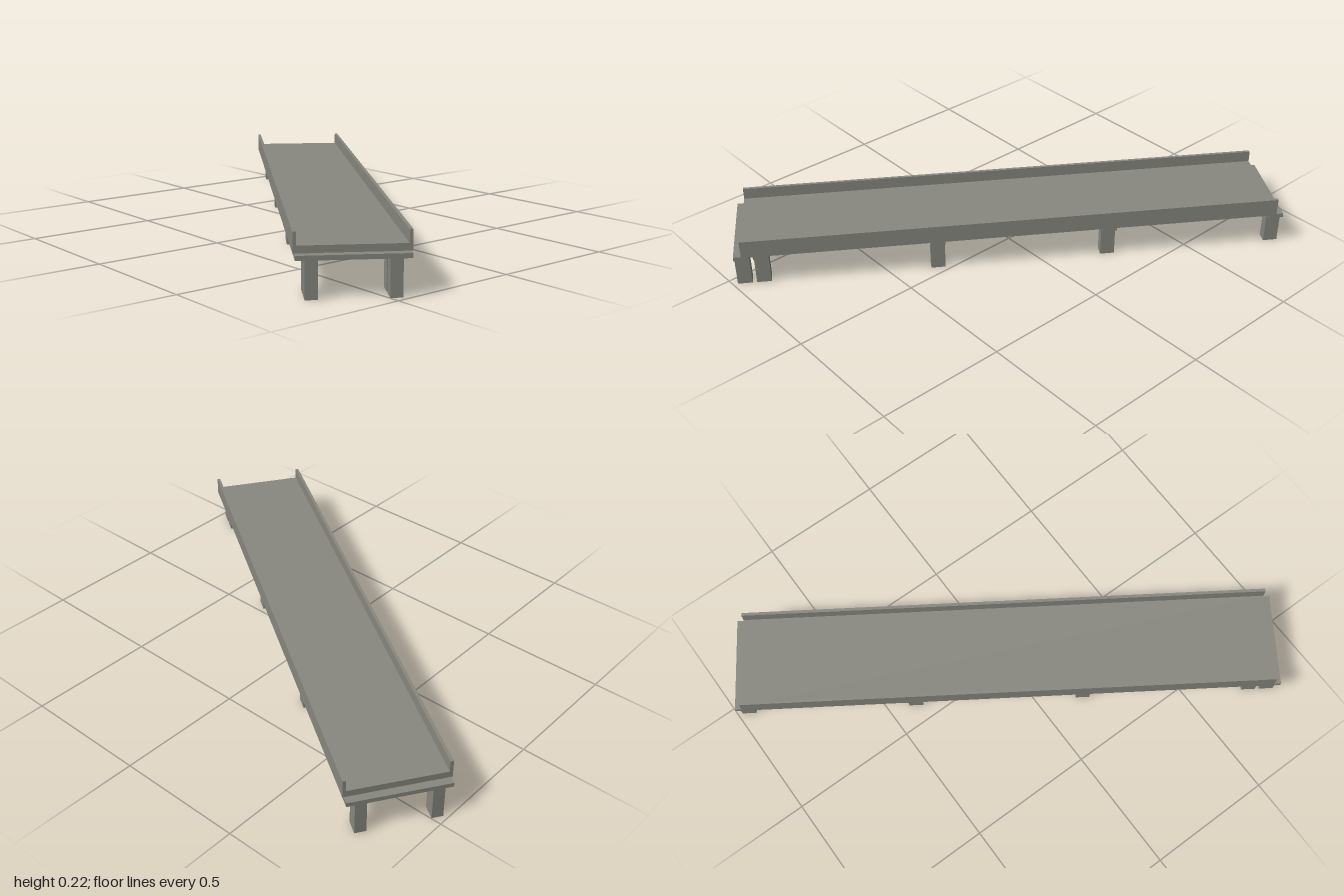
import * as THREE from 'three';

export function createModel() {
  const concrete = new THREE.MeshStandardMaterial({ color: 0x888880 });
  concrete.name = 'concrete grey';

  const model = new THREE.Group();
  model.name = 'bridge';
  // The span lies diagonally: local x runs along it, local z across it
  const span = new THREE.Group();
  span.name = 'span';
  span.rotation.y = -0.585;
  model.add(span);

  // Box given by its centre in plan and its bottom and top heights
  const block = (name, parent, length, width, bottom, top, x, z) => {
    const mesh = new THREE.Mesh(new THREE.BoxGeometry(length, top - bottom, width), concrete);
    mesh.position.set(x, (bottom + top) / 2, z);
    mesh.name = name;
    parent.add(mesh);
  };

  // Road deck between two parapets, with a girder below each side
  const length = 2.09;
  block('deck', span, length, 0.36, 0.145, 0.17, 0, 0);
  for (const side of [-1, 1]) {
    block('parapet', span, length, 0.012, 0.145, 0.215, 0, side * 0.186);
    block('girder', span, length, 0.041, 0.118, 0.145, 0, side * 0.136);
  }

  // Supports: evenly spaced, with a closing pair at the far end
  for (const x of [-1.047, -0.374, 0.3, 0.974, 1.047]) {
    const support = new THREE.Group();
    support.name = 'support';
    support.position.x = x;
    span.add(support);
    block('crossCap', support, 0.056, 0.374, 0.128, 0.1445, 0, 0);
    for (const side of [-1, 1]) block('leg', support, 0.056, 0.042, 0, 0.128, 0, side * 0.136);
  }
  return model;
}
